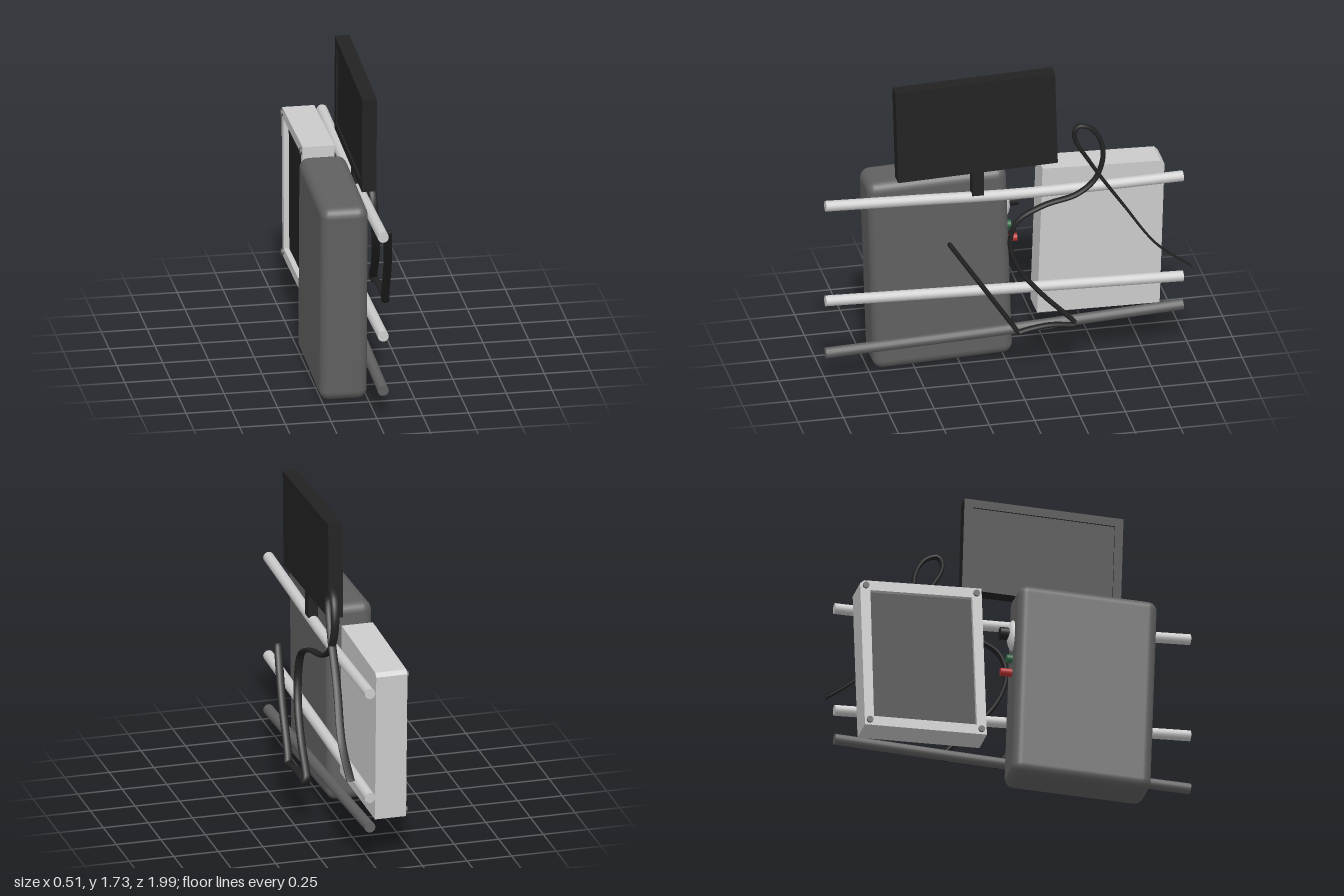
import * as THREE from 'three';
import { RoundedBoxGeometry } from 'three/addons/geometries/RoundedBoxGeometry.js';

const GREY = 0xcccccc, DARK = 0x606060, BLACK = 0x222222;

const material = (color) => new THREE.MeshStandardMaterial({ color });

function add(parent, name, geometry, color) {
  const mesh = new THREE.Mesh(geometry, material(color));
  mesh.name = name;
  parent.add(mesh);
  return mesh;
}

// Slab from an outline of [z, y] corners, spanning x0..x1, with an optional opening
function slab(outline, x0, x1, opening) {
  const toPoints = (list) => list.map(([z, y]) => new THREE.Vector2(-z, y));
  const shape = new THREE.Shape(toPoints(outline));
  if (opening) shape.holes.push(new THREE.Path(toPoints(opening)));
  const geo = new THREE.ExtrudeGeometry(shape, { depth: x1 - x0, bevelEnabled: false });
  return geo.rotateY(Math.PI / 2).translate(x0, 0, 0);
}

// Casing whose -x face holds a recessed dark panel
function framedPanel(name, outline, opening, x0, x1, recess, color) {
  const group = new THREE.Group();
  group.name = name;
  add(group, name + 'Casing', slab(outline, x0 + recess, x1), color);
  add(group, name + 'Frame', slab(outline, x0, x0 + recess, opening), color);
  add(group, name + 'Panel', slab(opening, x0 + recess - 0.006, x0 + recess + 0.01), BLACK);
  return group;
}

// Flattened cable swept along a curve: wide in x, thin across its path
function ribbon(curve, steps, sides, halfWidth, halfThickness) {
  const positions = [], index = [];
  const points = curve.getSpacedPoints(steps);
  points.forEach((p, i) => {
    const t = curve.getTangentAt(i / steps);
    const len = Math.hypot(t.y, t.z) || 1;
    const thick = halfThickness(i / steps);
    for (let j = 0; j < sides; j++) {
      const a = (j / sides) * Math.PI * 2;
      const w = Math.cos(a) * halfWidth, h = Math.sin(a) * thick;
      positions.push(p.x + w, p.y - (t.z / len) * h, p.z + (t.y / len) * h);
      if (i < steps) {
        const k = (j + 1) % sides, b = i * sides, c = b + sides;
        index.push(b + j, b + k, c + j, b + k, c + k, c + j);
      }
    }
  });
  // End caps
  const last = steps * sides;
  for (let j = 1; j < sides - 1; j++) index.push(0, j + 1, j, last, last + j, last + j + 1);
  const geo = new THREE.BufferGeometry();
  geo.setAttribute('position', new THREE.Float32BufferAttribute(positions, 3));
  geo.setIndex(index);
  geo.computeVertexNormals();
  return geo;
}

// Round bar through [z, y] points, with capped ends
function bar(name, points, color) {
  const group = new THREE.Group();
  group.name = name;
  const path = new THREE.CatmullRomCurve3(points.map(([z, y]) => new THREE.Vector3(0.035, y, z)));
  add(group, name + 'Rod', new THREE.TubeGeometry(path, 12, 0.03, 14), color);
  for (const end of [0, 1]) {
    const cap = add(group, name + 'Cap', new THREE.CircleGeometry(0.03, 14), color);
    const dir = path.getTangent(end).multiplyScalar(end ? 1 : -1);
    cap.position.copy(path.getPoint(end));
    cap.quaternion.setFromUnitVectors(new THREE.Vector3(0, 0, 1), dir);
  }
  return group;
}

export function createModel() {
  const model = new THREE.Group();
  model.name = 'equipmentRack';

  // Tall rounded cabinet, slightly tilted
  const cabinet = add(model, 'cabinet', new RoundedBoxGeometry(0.26, 1.125, 0.77, 3, 0.055), DARK);
  cabinet.position.set(-0.13, 0.58, 0.355);
  cabinet.rotation.x = 0.033;

  // Socket, knob and two buttons on the cabinet's back end
  const socket = add(model, 'socketPlate', new THREE.SphereGeometry(1, 20, 12), 0xdddddd);
  socket.scale.set(0.052, 0.09, 0.035);
  socket.position.set(-0.13, 0.89, -0.018);
  const controls = [
    ['knob', 0.9, 0.034, -0.093, BLACK],
    ['greenButton', 0.752, 0.023, -0.056, 0x2f6b45],
    ['redButton', 0.67, 0.022, -0.09, 0xb83030],
  ];
  for (const [name, y, r, z, color] of controls) {
    const length = z + 0.01;
    const geo = new THREE.CylinderGeometry(r, r, -length, 14).rotateX(Math.PI / 2);
    add(model, name, geo, color).position.set(-0.13, y, z - length / 2);
  }

  // Grey box with a recessed screen
  const box = framedPanel('displayBox',
    [[-0.18, 0.255], [-0.855, 0.245], [-0.882, 1.08], [-0.86, 1.1], [-0.21, 1.12]],
    [[-0.235, 0.31], [-0.805, 0.3], [-0.825, 1.045], [-0.262, 1.062]],
    -0.2, -0.025, 0.035, GREY);
  model.add(box);
  for (const [z, y] of [[-0.21, 0.285], [-0.828, 0.275], [-0.85, 1.07], [-0.238, 1.088]]) {
    const geo = new THREE.CylinderGeometry(0.018, 0.018, 0.02, 10).rotateZ(Math.PI / 2);
    add(box, 'screw', geo, DARK).position.set(-0.202, y, z);
  }

  // Monitor on a short post
  model.add(framedPanel('monitor',
    [[0.605, 1.165], [-0.275, 1.195], [-0.26, 1.735], [0.62, 1.705]],
    [[0.56, 1.215], [-0.225, 1.242], [-0.213, 1.686], [0.572, 1.658]],
    -0.015, 0.065, 0.015, BLACK));
  const post = add(model, 'monitorPost', new THREE.BoxGeometry(0.055, 0.15, 0.065), BLACK);
  post.position.set(0.035, 1.115, 0.163);

  // Long horizontal bars
  model.add(bar('upperBar', [[1, 1.053], [0.5, 1.036], [-0.05, 1.016], [-0.5, 1.018], [-0.97, 1.027]], GREY));
  model.add(bar('middleBar', [[1, 0.481], [0, 0.45], [-0.97, 0.422]], GREY));
  model.add(bar('lowerBar', [[1, 0.166], [0, 0.203], [-0.97, 0.251]], DARK));

  // Looping flat cable, points as x, y, z
  const path = [
    [0.15, 0.54, -0.99], [0.145, 0.69, -0.8], [0.12, 0.93, -0.625], [0.105, 1.19, -0.45],
    [0.09, 1.36, -0.36], [0.085, 1.415, -0.385], [0.09, 1.385, -0.465], [0.1, 1.26, -0.517],
    [0.11, 1.107, -0.475], [0.125, 1.027, -0.37], [0.14, 0.984, -0.18], [0.15, 0.91, -0.035],
    [0.155, 0.786, 0.008], [0.17, 0.636, -0.035], [0.19, 0.476, -0.16], [0.205, 0.31, -0.325],
    [0.21, 0.285, -0.343], [0.213, 0.285, -0.32], [0.22, 0.3, -0.2], [0.225, 0.285, -0.06],
    [0.222, 0.275, -0.025], [0.215, 0.31, 0.0], [0.2, 0.556, 0.166], [0.172, 0.82, 0.345],
  ];
  const curve = new THREE.CatmullRomCurve3(path.map((p) => new THREE.Vector3(...p)));
  curve.arcLengthDivisions = 800;
  const cable = ribbon(curve, 180, 10, 0.023, (t) => 0.003 + 0.01 * Math.min(1, t / 0.3));
  add(model, 'cable', cable, BLACK).material.side = THREE.DoubleSide;

  return model;
}
